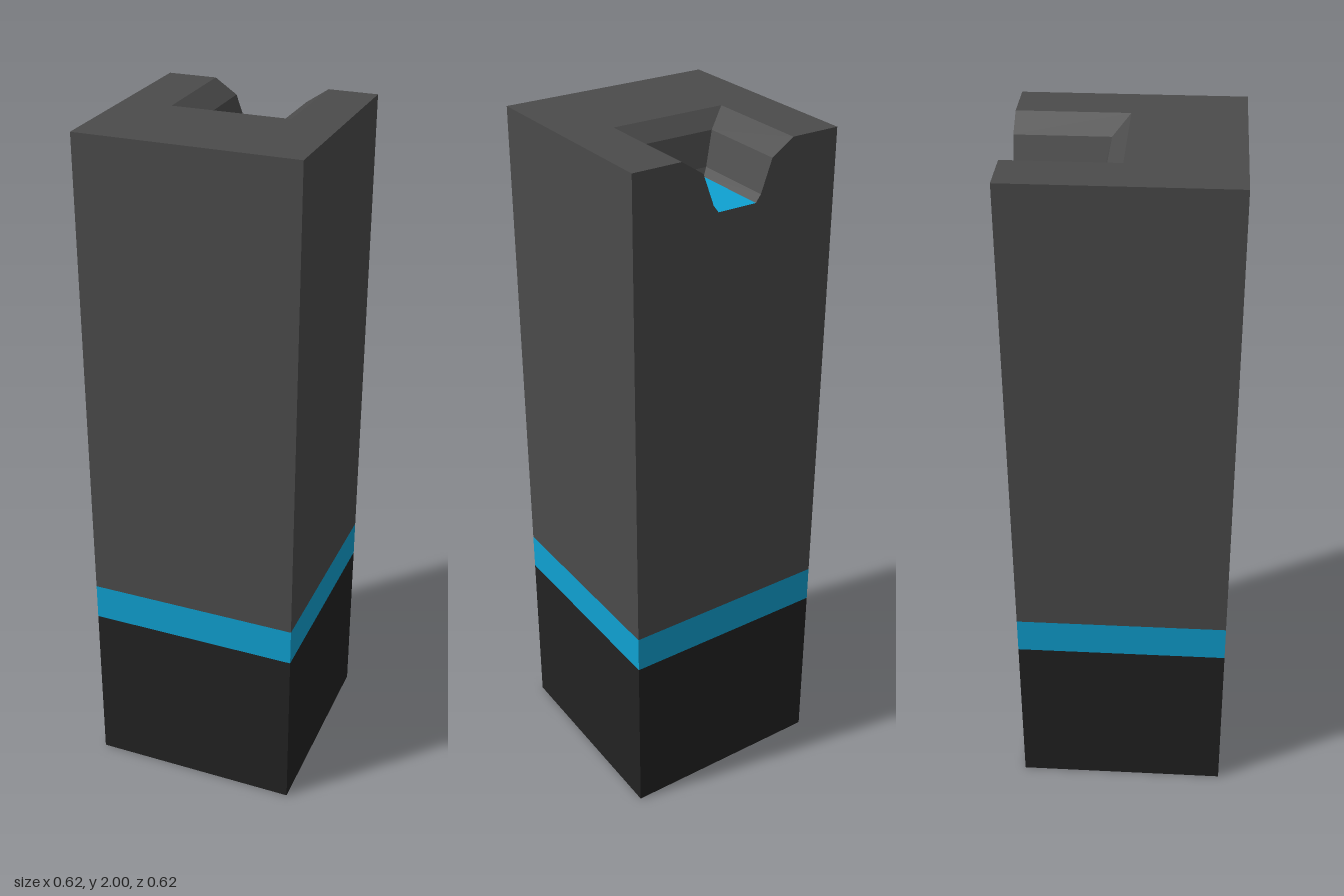
import * as THREE from 'three';
import { mergeGeometries } from 'three/addons/utils/BufferGeometryUtils.js';

const H = 0.3075; // half width of the square post
const BASE_TOP = 0.51, BAND_TOP = 0.62, TOP = 2;

// Notch rings from rim to floor: half width, height, z of the end wall
const RINGS = [
  [0.167, TOP, 0],
  [0.104, TOP - 0.042, -0.047],
  [0.072, TOP - 0.13, -0.069],
  [0.057, TOP - 0.15, -0.08],
];

function quads(list) {
  const pos = [];
  for (const [a, b, c, d] of list) pos.push(...a, ...b, ...c, ...a, ...c, ...d);
  const g = new THREE.BufferGeometry();
  g.setAttribute('position', new THREE.Float32BufferAttribute(pos, 3));
  g.computeVertexNormals();
  return g;
}

function plate(points) {
  const g = new THREE.ShapeGeometry(new THREE.Shape(points.map(p => new THREE.Vector2(...p)))).toNonIndexed();
  g.deleteAttribute('uv');
  return g;
}

function bodyGeometry() {
  // Front and side walls
  const faces = [
    [[-H, BAND_TOP, H], [H, BAND_TOP, H], [H, TOP, H], [-H, TOP, H]],
    [[H, BAND_TOP, H], [H, BAND_TOP, -H], [H, TOP, -H], [H, TOP, H]],
    [[-H, BAND_TOP, -H], [-H, BAND_TOP, H], [-H, TOP, H], [-H, TOP, -H]],
  ];
  // Notch side walls and sloping end wall
  for (let i = 0; i < RINGS.length - 1; i++) {
    const [x, y, z] = RINGS[i], [u, v, w] = RINGS[i + 1];
    faces.push(
      [[-x, y, -H], [-x, y, z], [-u, v, w], [-u, v, -H]],
      [[u, v, -H], [u, v, w], [x, y, z], [x, y, -H]],
      [[-x, y, z], [x, y, z], [u, v, w], [-u, v, w]],
    );
  }
  // Back wall with the notch profile cut out of its upper edge
  const back = plate([
    [-H, BAND_TOP], [H, BAND_TOP], [H, TOP],
    ...RINGS.map(([x, y]) => [x, y]),
    ...RINGS.map(([x, y]) => [-x, y]).reverse(),
    [-H, TOP],
  ]).rotateY(Math.PI).translate(0, 0, -H);
  // Top face around the notch
  const r = RINGS[0][0];
  const top = plate([[-H, -H], [H, -H], [H, H], [r, H], [r, 0], [-r, 0], [-r, H], [-H, H]])
    .rotateX(-Math.PI / 2).translate(0, TOP, 0);
  return mergeGeometries([quads(faces), back, top]);
}

export function createModel() {
  const material = (name, color) => {
    const m = new THREE.MeshStandardMaterial({ color });
    m.name = name;
    return m;
  };
  const grey = material('dark grey', 0x4b4b4b);
  const blue = material('bright blue', 0x0fa1d2);
  const black = material('soft black', 0x222222);

  const group = new THREE.Group();
  group.name = 'notchedPost';
  const add = (name, geometry, mat) => {
    const mesh = new THREE.Mesh(geometry, mat);
    mesh.name = name;
    group.add(mesh);
  };
  const block = (y0, y1) =>
    new THREE.BoxGeometry(2 * H, y1 - y0, 2 * H).translate(0, (y0 + y1) / 2, 0);

  add('base', block(0, BASE_TOP), black);
  add('band', block(BASE_TOP, BAND_TOP), blue);
  add('body', bodyGeometry(), grey);

  // Coloured floor of the notch
  const [x, y, z] = RINGS[RINGS.length - 1];
  add('notchFloor', quads([[[-x, y, z], [x, y, z], [x, y, -H], [-x, y, -H]]]), blue);
  return group;
}
